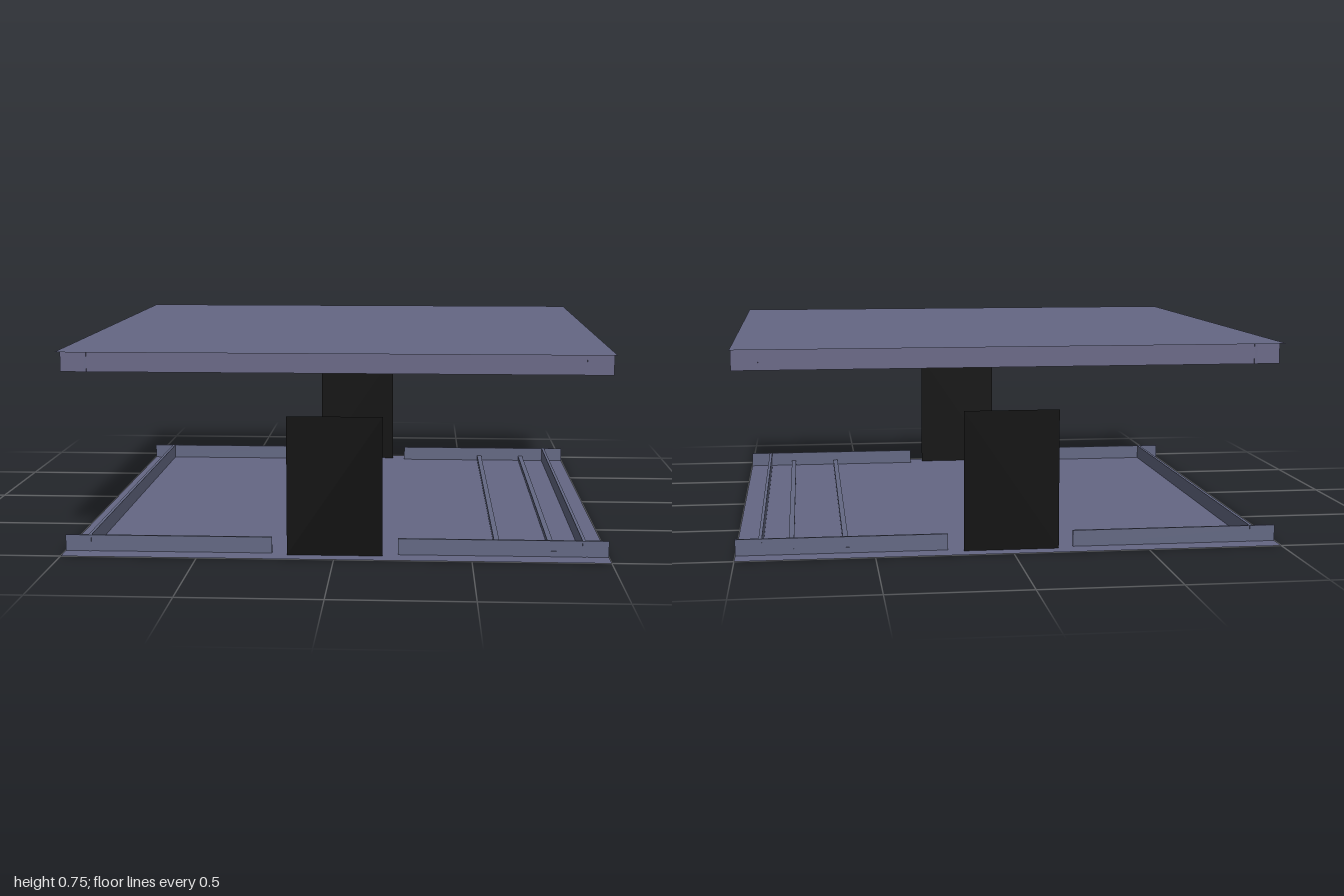
import * as THREE from 'three';

const mat = (name, color, side = THREE.FrontSide) =>
  new THREE.MeshStandardMaterial({ name, color, side });

export function createModel() {
  const group = new THREE.Group();
  const plate = mat('slate plate', 0x646784, THREE.DoubleSide);
  const floorTrim = mat('slate blue trim', 0x636883);
  const roofTrim = mat('slate purple trim', 0x696886);
  const black = mat('black', 0x0b0b0b, THREE.DoubleSide);

  function add(name, geometry, material, x, y, z) {
    const mesh = new THREE.Mesh(geometry, material);
    mesh.name = name;
    mesh.position.set(x, y, z);
    group.add(mesh);
    return mesh;
  }
  const box = (name, w, h, d, m, x, y, z) =>
    add(name, new THREE.BoxGeometry(w, h, d), m, x, y, z);

  // Floor and ceiling sheets, without thickness
  for (const [name, y] of [['floor', 0], ['ceiling', 0.75]]) {
    add(name, new THREE.PlaneGeometry(2, 2).rotateX(-Math.PI / 2), plate, 0, y, 0);
  }

  for (const s of [-1, 1]) {
    // Long side trims at floor and ceiling
    box('floorSideTrim', 0.012, 0.06, 1.84, floorTrim, s * 0.91, 0.03, 0);
    box('ceilingSideTrim', 0.012, 0.08, 1.84, roofTrim, s * 0.91, 0.709, 0);

    // End trims: the floor ones leave a gap for the doorway
    for (const x of [-1, 1]) {
      box('floorEndTrim', 0.768, 0.06, 0.01, floorTrim, x * 0.616, 0.03, s * 0.913);
    }
    box('ceilingEndTrim', 2, 0.08, 0.01, roofTrim, 0, 0.709, s * 0.913);

    // Door panels at front and back
    add('door', new THREE.PlaneGeometry(0.35, 0.515), black, 0, 0.2575, s * 0.94);
  }

  // Two thin floor rails along the left side
  for (const x of [0.6, 0.8]) {
    box('floorRail', 0.02, 0.02, 1.84, floorTrim, x, 0.011, 0);
  }
  return group;
}
